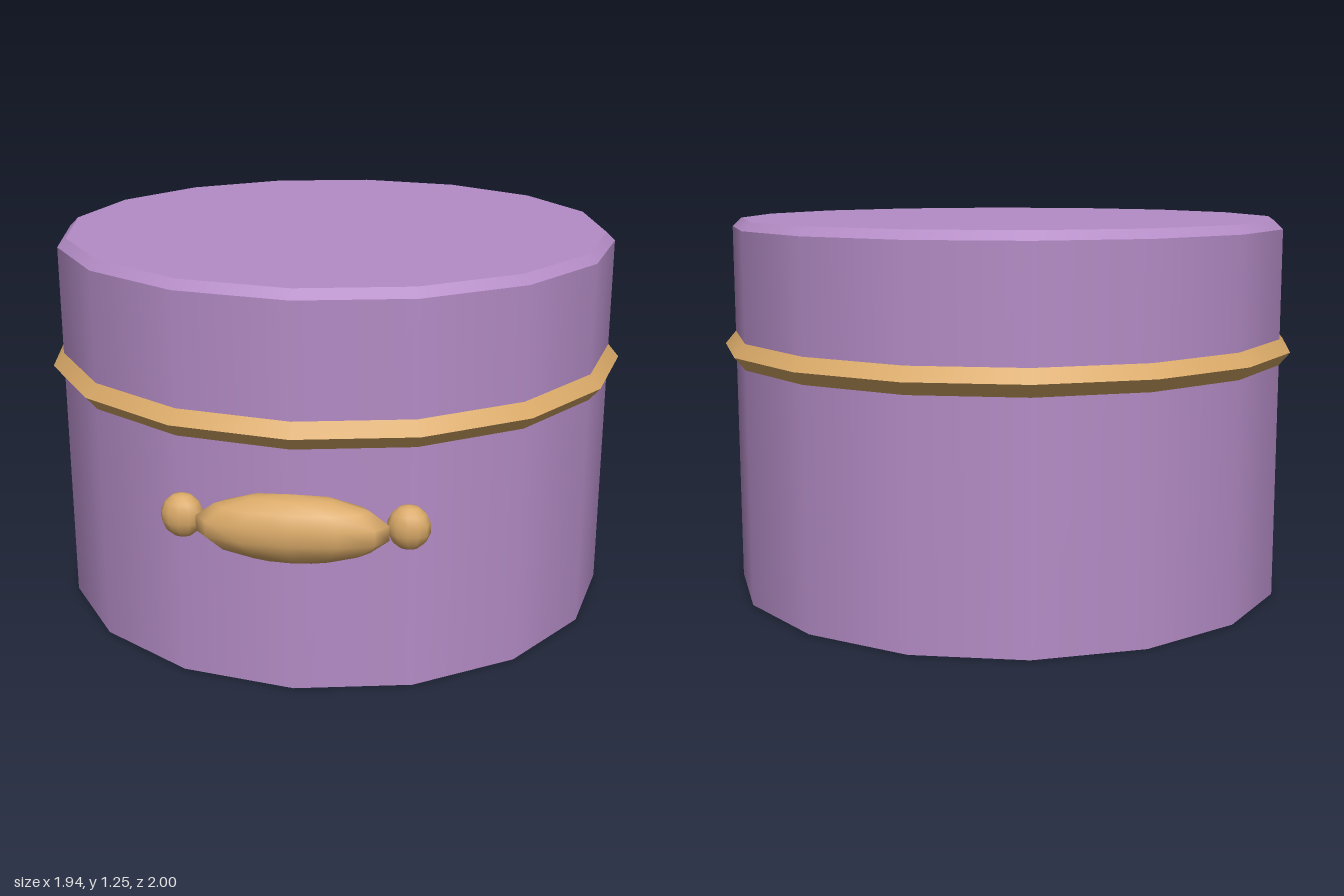
import * as THREE from 'three';

const SIDES = 16;
const CENTER_Z = -0.027;

export function createModel() {
  const purple = new THREE.MeshStandardMaterial({ color: 0xb48cc6 });
  purple.name = 'purple';
  const gold = new THREE.MeshStandardMaterial({ color: 0xd9a968 });
  gold.name = 'gold';

  const model = new THREE.Group();
  model.name = 'roundBox';

  function add(parent, name, geometry, material, x, y, z) {
    const mesh = new THREE.Mesh(geometry, material);
    mesh.name = name;
    mesh.position.set(x, y, z);
    parent.add(mesh);
  }

  // Smooth open band between two radii and heights, sharp at its rims
  function band(name, rBottom, yBottom, rTop, yTop, material) {
    const h = yTop - yBottom;
    const geometry = new THREE.CylinderGeometry(rTop, rBottom, h, SIDES, 1, true);
    add(model, name, geometry, material, 0, yBottom + h / 2, CENTER_Z);
  }

  // Flat disc closing the drum, facing up or down
  function disc(name, radius, y, direction) {
    const geometry = new THREE.CircleGeometry(radius, SIDES);
    geometry.rotateX(-direction * Math.PI / 2);
    add(model, name, geometry, purple, 0, y, CENTER_Z);
  }

  // Drum with a bevelled lid
  disc('base', 0.936, 0, -1);
  band('wall', 0.936, 0, 0.936, 1.222, purple);
  band('lidBevel', 0.936, 1.222, 0.907, 1.25, purple);
  disc('lidTop', 0.907, 1.25, 1);

  // Pointed trim ring around the lid seam
  band('trimLower', 0.934, 0.777, 0.972, 0.822, gold);
  band('trimUpper', 0.972, 0.822, 0.934, 0.867, gold);

  // Front handle: long grip between two knobs
  const handle = new THREE.Group();
  handle.name = 'handle';
  model.add(handle);
  const bead = (rx, ry, rz) => new THREE.SphereGeometry(1, 12, 7).scale(rx, ry, rz);
  add(handle, 'grip', bead(0.296, 0.106, 0.09), gold, 0, 0.535, 0.912);
  for (const side of [-1, 1]) {
    add(handle, side > 0 ? 'leftKnob' : 'rightKnob', bead(0.066, 0.07, 0.05), gold, side * 0.341, 0.537, 0.862);
  }

  return model;
}
